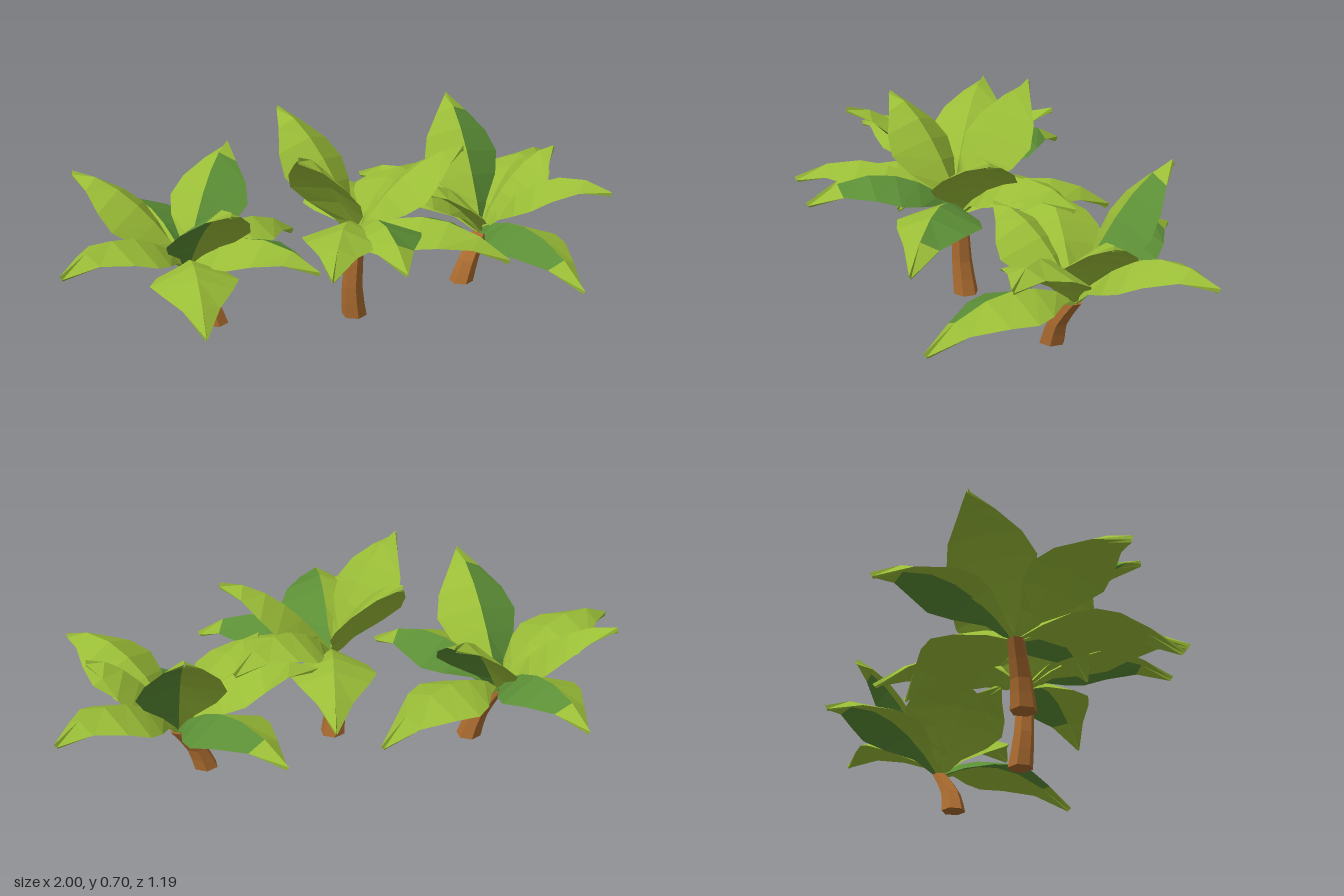
import * as THREE from 'three';

const mat = (name, color) => {
  const m = new THREE.MeshStandardMaterial({ color });
  m.name = name;
  m.flatShading = true;
  return m;
};
const V = (a) => new THREE.Vector3(...a);

// Each tree: trunk centre line from ground to crown, then leaf tips.
// Leaf: [tip x, y, z, deep green half: 1 or -1 for a side, 0 for none]
const TREES = [
  {
    name: 'leftPalm',
    trunk: [[-0.447, 0, -0.065], [-0.472, 0.09, -0.078], [-0.53, 0.2, -0.11]],
    leaves: [
      [-1.0, 0.33, 0.12, 0], [-0.61, 0.18, 0.41, 0], [-0.49, 0.55, 0.32, 1],
      [-0.17, 0.26, 0.23, -1], [-0.06, 0.17, -0.37, 0], [-0.29, 0.53, -0.4, 1],
      [-0.69, 0.28, -0.59, 1], [-0.86, 0.51, -0.34, 0],
    ],
  },
  {
    name: 'middlePalm',
    trunk: [[0.024, 0, 0.045], [0.012, 0.12, 0.055], [0.025, 0.3, 0.065]],
    leaves: [
      [0.11, 0.29, -0.45, 0], [-0.15, 0.69, -0.25, 0], [-0.24, 0.67, 0.23, 0],
      [-0.25, 0.39, 0.57, 0], [-0.01, 0.38, 0.59, -1], [0.45, 0.27, 0.38, -1],
      [0.4, 0.59, 0.1, 0], [0.4, 0.4, -0.2, 0],
    ],
  },
  {
    name: 'rightPalm',
    trunk: [[0.495, 0, -0.085], [0.525, 0.08, -0.09], [0.585, 0.17, -0.12]],
    leaves: [
      [0.29, 0.27, -0.59, 1], [0.58, 0.6, -0.45, 1], [0.99, 0.33, -0.41, 0],
      [0.87, 0.46, -0.12, 0], [0.92, 0.39, 0.22, 0], [0.72, 0.13, 0.42, 1],
      [0.12, 0.38, -0.18, 0], [0.28, 0.42, 0.04, 0],
    ],
  },
];

// Leaf outline: [position along the midrib, half width]
const OUTLINE = [[0, 0.016], [0.13, 0.05], [0.28, 0.118], [0.43, 0.147], [0.6, 0.12], [0.8, 0.06], [1, 0.003]];

// Folded leaf lofted along an arched midrib; group 0 is lime, group 1 deep green
function leafGeometry(base, tip, greenSide) {
  const upright = tip.y - base.y > 0.24;
  const ctrl = base.clone().lerp(tip, 0.5);
  ctrl.y = base.y + (tip.y - base.y) * 0.6 + (upright ? 0.11 : 0.21);
  const rib = new THREE.QuadraticBezierCurve3(base, ctrl, tip);
  const side = new THREE.Vector3(tip.x - base.x, 0, tip.z - base.z)
    .cross(new THREE.Vector3(0, 1, 0)).normalize();

  const rings = OUTLINE.map(([t, w]) => {
    const p = rib.getPoint(t);
    const n = side.clone().cross(rib.getTangent(t));
    const at = (s, h) => p.clone().addScaledVector(side, s).addScaledVector(n, h);
    const drop = -0.005 - w * 0.32;
    return [at(w, drop), at(0, 0.008), at(-w, drop), at(0, -0.014)];
  });

  // Faces 0 and 1 are the upper halves, 2 and 3 the matching undersides
  const greenTop = greenSide > 0 ? 0 : 1;
  const lime = [], green = [];
  for (let i = 0; i < rings.length - 1; i++) {
    for (let k = 0; k < 4; k++) {
      const j = (k + 1) % 4;
      const a = rings[i][k], b = rings[i][j], c = rings[i + 1][j], d = rings[i + 1][k];
      const isGreen = greenSide && i < 5 && (k === greenTop || k === 3 - greenTop);
      for (const p of [a, d, c, a, c, b]) (isGreen ? green : lime).push(p);
    }
  }
  const g = new THREE.BufferGeometry().setFromPoints([...lime, ...green]);
  g.addGroup(0, lime.length, 0);
  if (green.length) g.addGroup(lime.length, green.length, 1);
  g.computeVertexNormals();
  return g;
}

// Six-sided trunk bent along its centre line, tapering upwards
function trunkGeometry(points) {
  const curve = new THREE.CatmullRomCurve3(points.map(V));
  const g = new THREE.CylinderGeometry(0.028, 0.044, 1, 6, 4);
  const pos = g.attributes.position;
  for (let i = 0; i < pos.count; i++) {
    const c = curve.getPoint(pos.getY(i) + 0.5);
    pos.setXYZ(i, pos.getX(i) + c.x, c.y, pos.getZ(i) + c.z);
  }
  g.computeVertexNormals();
  return g;
}

export function createModel() {
  const bark = mat('bark brown', 0xac6c30);
  const leafMats = [mat('leaf lime', 0x9abd37), mat('leaf green', 0x5c8f36)];
  const model = new THREE.Group();
  model.name = 'palmGrove';

  for (const { name, trunk, leaves } of TREES) {
    const palm = new THREE.Group();
    palm.name = name;
    const trunkMesh = new THREE.Mesh(trunkGeometry(trunk), bark);
    trunkMesh.name = 'trunk';
    palm.add(trunkMesh);

    const crown = V(trunk[2]);
    crown.y += 0.005;
    for (const [x, y, z, greenSide] of leaves) {
      const leaf = new THREE.Mesh(leafGeometry(crown, V([x, y, z]), greenSide), leafMats);
      leaf.name = 'leaf';
      palm.add(leaf);
    }
    model.add(palm);
  }
  return model;
}
